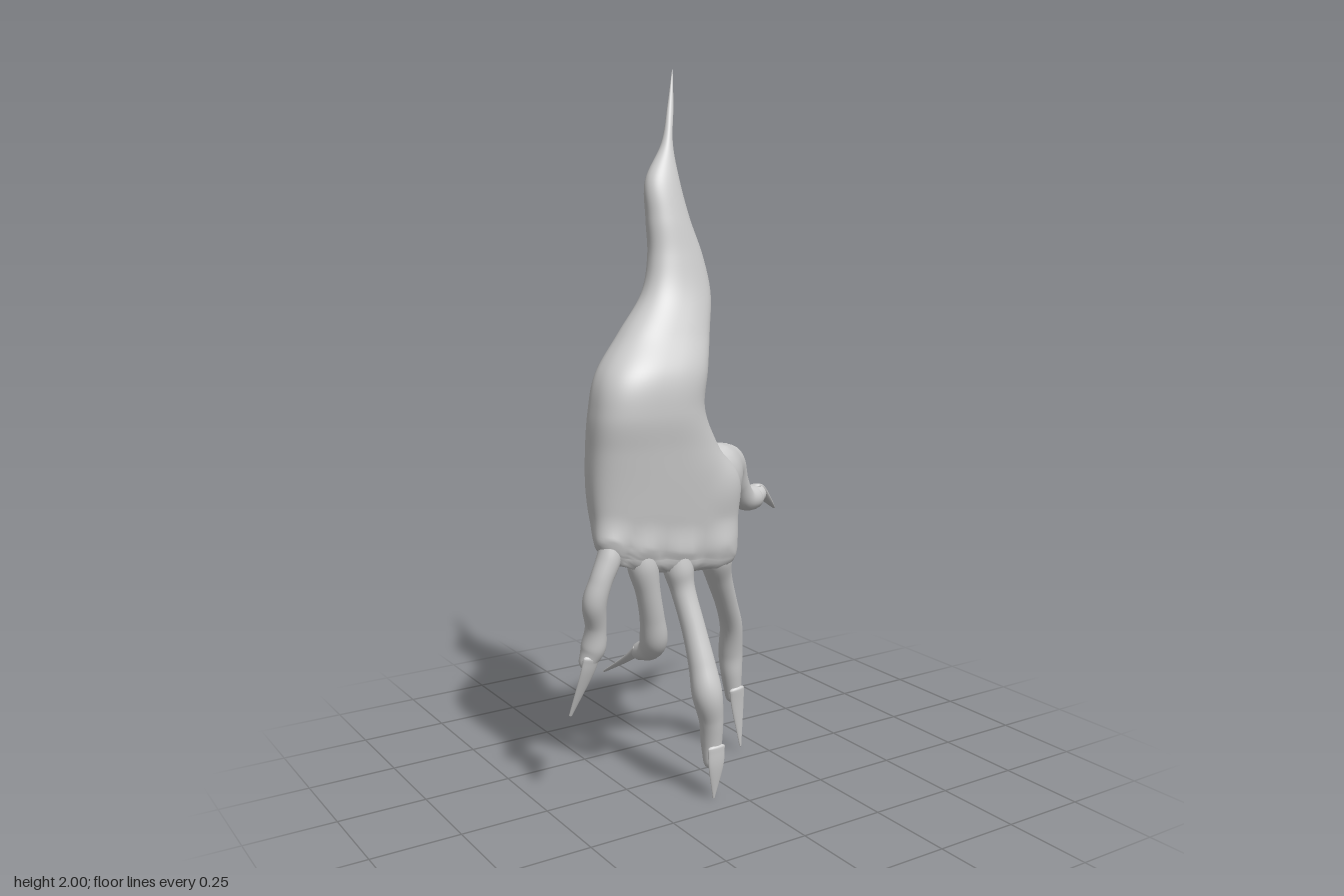
import * as THREE from 'three';

const material = new THREE.MeshStandardMaterial({ color: 0xcccccc, side: THREE.DoubleSide });

// Smooth skin through rows of [x, y, z, radiusA, radiusB, slope], with domed ends.
// level = true keeps every ring horizontal (radiusA along x, radiusB along z).
// boxy squares off the rings towards the last row.
function sweep(name, rows, { level = false, steps = 8, sides = 24, boxy = 0 } = {}) {
  const path = new THREE.CatmullRomCurve3(rows.map(r => new THREE.Vector3(r[0], r[1], r[2])), false, 'catmullrom');
  const size = new THREE.CatmullRomCurve3(rows.map(r => new THREE.Vector3(r[3], r[4] ?? r[3], r[5] ?? 0)), false, 'catmullrom');
  const rings = [];
  const count = (rows.length - 1) * steps;
  let n = new THREE.Vector3(1, 0, 0);
  for (let i = 0; i <= count; i++) {
    const u = i / count;
    const t = level ? new THREE.Vector3(0, -1, 0) : path.getTangent(u);
    n = n.clone().addScaledVector(t, -n.dot(t)).normalize();
    const s = size.getPoint(u);
    rings.push({
      c: path.getPoint(u), t, n, b: new THREE.Vector3().crossVectors(t, n), power: 1 - boxy * u,
      ra: Math.max(s.x, 0.001), rb: Math.max(s.y, 0.001), slope: s.z,
    });
  }
  // Domes that close both ends
  const dome = (ring, dir, k) => {
    const a = (k / 5) * Math.PI / 2, f = Math.max(Math.cos(a), 0.001);
    return {
      ...ring, ra: ring.ra * f, rb: ring.rb * f,
      c: ring.c.clone().addScaledVector(ring.t, dir * Math.min(ring.ra, ring.rb) * Math.sin(a)),
    };
  };
  const first = rings[0], last = rings[rings.length - 1];
  for (let k = 1; k <= 5; k++) {
    rings.unshift(dome(first, -1, k));
    rings.push(dome(last, 1, k));
  }
  const pos = [], index = [];
  rings.forEach((r, i) => {
    const soft = v => Math.sign(v) * Math.abs(v) ** r.power;
    for (let j = 0; j < sides; j++) {
      const a = (j / sides) * Math.PI * 2;
      const da = soft(Math.cos(a)) * r.ra, db = soft(Math.sin(a)) * r.rb;
      const p = r.c.clone().addScaledVector(r.n, da).addScaledVector(r.b, db);
      pos.push(p.x, p.y + r.slope * da, p.z);
      if (i < rings.length - 1) {
        const k = i * sides + j, l = i * sides + (j + 1) % sides;
        index.push(k, l, k + sides, l, l + sides, k + sides);
      }
    }
  });
  const geo = new THREE.BufferGeometry();
  geo.setAttribute('position', new THREE.Float32BufferAttribute(pos, 3));
  geo.setIndex(index);
  geo.computeVertexNormals();
  const mesh = new THREE.Mesh(geo, material);
  mesh.name = name;
  return mesh;
}

// Swells a skin outward where it meets the given limbs, so that the joints are webbed
function web(geo, limbs, reach) {
  const pos = geo.attributes.position, normal = geo.attributes.normal;
  const p = new THREE.Vector3(), q = new THREE.Vector3(), line = new THREE.Line3();
  for (let i = 0; i < pos.count; i++) {
    p.fromBufferAttribute(pos, i);
    let d = reach;
    for (const rows of limbs) {
      for (let k = 0; k < rows.length - 1; k++) {
        const [a, b] = [rows[k], rows[k + 1]];
        line.start.set(a[0], a[1], a[2]);
        line.end.set(b[0], b[1], b[2]);
        const u = line.closestPointToPointParameter(p, true);
        d = Math.min(d, line.at(u, q).distanceTo(p) - THREE.MathUtils.lerp(a[3], b[3], u));
      }
    }
    p.addScaledVector(q.fromBufferAttribute(normal, i), (reach - Math.max(d, 0)) ** 2 / (4 * reach));
    pos.setXYZ(i, p.x, p.y, p.z);
  }
  geo.computeVertexNormals();
}

// Outline row: y, x range, z range, slope of the ring
const span = (y, x0, x1, z0, z1, slope = 0) =>
  [(x0 + x1) / 2, y, (z0 + z1) / 2, (x1 - x0) / 2, (z1 - z0) / 2, slope];

export function createModel() {
  const group = new THREE.Group();
  group.name = 'clawedHand';

  // Wrist stump tapering to a point, forearm and palm in one skin
  const arm = sweep('armAndPalm', [
    span(2.0, -0.031, -0.029, -0.096, -0.094),
    span(1.9, -0.062, -0.044, -0.076, -0.062),
    span(1.8, -0.098, -0.066, -0.055, -0.025),
    span(1.7, -0.162, -0.062, -0.05, 0.018),
    span(1.6, -0.168, -0.042, -0.046, 0.044),
    span(1.5, -0.17, -0.01, -0.04, 0.064),
    span(1.4, -0.20, 0.003, -0.032, 0.09),
    span(1.3, -0.285, -0.022, -0.02, 0.135),
    span(1.2, -0.37, -0.056, -0.006, 0.19),
    span(1.1, -0.396, -0.072, -0.002, 0.2),
    span(1.0, -0.4, -0.025, -0.01, 0.187),
    span(0.9, -0.4, 0.04, -0.008, 0.174),
    span(0.8, -0.392, 0.055, 0.015, 0.16, -0.03),
    span(0.73, -0.378, 0.042, 0.05, 0.148, -0.12),
    span(0.695, -0.352, 0.022, 0.075, 0.136, -0.14),
  ], { level: true, sides: 72, boxy: 0.34 });
  group.add(arm);

  // Digits: flesh rows [x, y, z, radiusA, radiusB], nail rows [x, y, z, width, thickness]
  const digits = {
    thumb: {
      flesh: [[-0.02, 0.87, 0.06, 0.07, 0.105], [0.025, 0.877, 0.035, 0.077, 0.108],
        [0.07, 0.886, 0.0, 0.066, 0.086], [0.115, 0.882, -0.03, 0.05, 0.066], [0.155, 0.835, -0.055, 0.043],
        [0.2, 0.782, -0.075, 0.036], [0.25, 0.772, -0.1, 0.037], [0.275, 0.778, -0.108, 0.028]],
      nail: [[0.262, 0.797, -0.112, 0.026, 0.012], [0.3, 0.782, -0.14, 0.025, 0.014], [0.37, 0.737, -0.19, 0.015, 0.009], [0.435, 0.692, -0.238, 0.004, 0.002]],
    },
    indexFinger: {
      flesh: [[-0.022, 0.71, 0.1, 0.042], [-0.01, 0.665, 0.092, 0.046], [0.018, 0.6, 0.068, 0.037],
        [0.068, 0.51, 0.03, 0.032], [0.115, 0.42, -0.012, 0.033], [0.135, 0.33, -0.043, 0.036], [0.142, 0.26, -0.048, 0.032], [0.152, 0.185, -0.053, 0.024]],
      nail: [[0.148, 0.21, -0.028, 0.026, 0.009], [0.156, 0.15, -0.034, 0.021, 0.006], [0.175, 0.02, -0.046, 0.003, 0.002]],
    },
    middleFinger: {
      flesh: [[-0.15, 0.71, 0.113, 0.038], [-0.147, 0.66, 0.115, 0.042], [-0.137, 0.6, 0.122, 0.034],
        [-0.122, 0.5, 0.15, 0.033], [-0.112, 0.4, 0.178, 0.037], [-0.106, 0.32, 0.195, 0.042], [-0.088, 0.24, 0.188, 0.034],
        [-0.08, 0.17, 0.178, 0.03], [-0.079, 0.115, 0.178, 0.024]],
      nail: [[-0.08, 0.16, 0.203, 0.028, 0.008], [-0.079, 0.1, 0.2, 0.024, 0.006], [-0.076, 0.005, 0.184, 0.003, 0.002]],
    },
    ringFinger: {
      flesh: [[-0.262, 0.73, 0.112, 0.038], [-0.257, 0.68, 0.112, 0.042], [-0.24, 0.61, 0.108, 0.034],
        [-0.218, 0.53, 0.092, 0.034], [-0.2, 0.46, 0.07, 0.039], [-0.19, 0.42, 0.035, 0.034], [-0.196, 0.4, -0.008, 0.026]],
      nail: [[-0.196, 0.41, -0.01, 0.026, 0.01], [-0.204, 0.37, -0.055, 0.023, 0.009], [-0.22, 0.297, -0.172, 0.007, 0.003]],
    },
    littleFinger: {
      flesh: [[-0.354, 0.755, 0.112, 0.03], [-0.364, 0.715, 0.115, 0.033], [-0.388, 0.66, 0.115, 0.031],
        [-0.402, 0.6, 0.105, 0.033], [-0.388, 0.53, 0.085, 0.029], [-0.388, 0.47, 0.07, 0.034], [-0.402, 0.43, 0.064, 0.025]],
      nail: [[-0.402, 0.44, 0.083, 0.025, 0.01], [-0.412, 0.39, 0.07, 0.02, 0.007], [-0.437, 0.272, 0.026, 0.005, 0.003]],
    },
  };
  for (const [name, { flesh, nail }] of Object.entries(digits)) {
    const digit = new THREE.Group();
    digit.name = name;
    digit.add(sweep(name + 'Flesh', flesh), sweep(name + 'Nail', nail, { sides: 16 }));
    group.add(digit);
  }
  web(arm.geometry, Object.values(digits).map(d => d.flesh), 0.06);
  return group;
}
